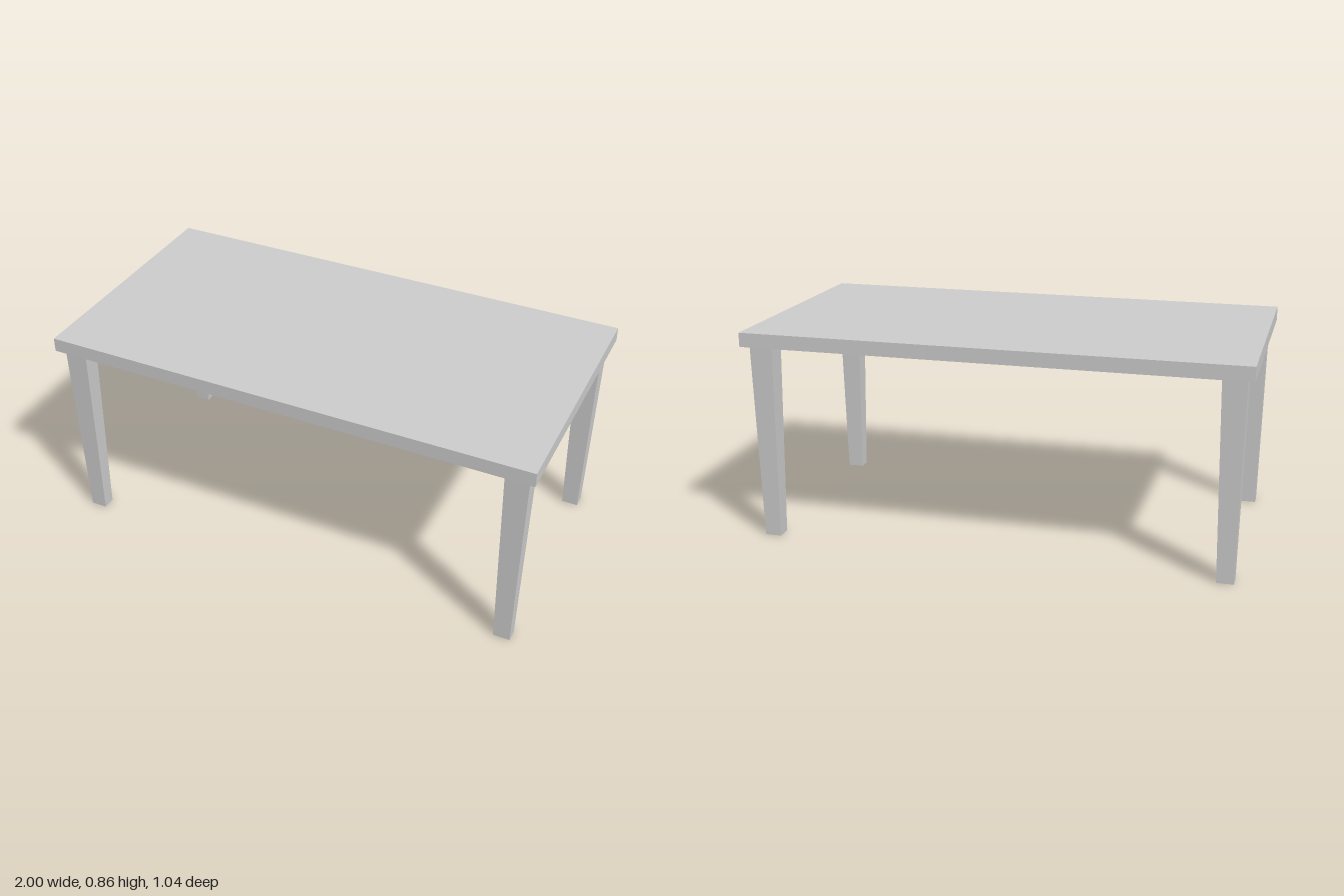
import * as THREE from 'three';

const material = new THREE.MeshStandardMaterial({ color: 0xcccccc, flatShading: true });
const LEG_HEIGHT = 0.804;
const TOP_THICKNESS = 0.057;

// Square-cut leg, narrowing towards the foot
function taperedLeg(topWidth, topDepth, footWidth, footDepth) {
  const geometry = new THREE.BoxGeometry(1, LEG_HEIGHT, 1);
  const p = geometry.attributes.position;
  for (let i = 0; i < p.count; i++) {
    const isTop = p.getY(i) > 0;
    p.setX(i, p.getX(i) * (isTop ? topWidth : footWidth));
    p.setZ(i, p.getZ(i) * (isTop ? topDepth : footDepth));
  }
  geometry.translate(0, LEG_HEIGHT / 2, 0);
  geometry.computeVertexNormals();
  return geometry;
}

export function createModel() {
  const table = new THREE.Group();
  table.name = 'table';

  // Flat slab top
  const top = new THREE.Mesh(new THREE.BoxGeometry(2, TOP_THICKNESS, 1.036), material);
  top.name = 'tableTop';
  top.position.y = LEG_HEIGHT + TOP_THICKNESS / 2;
  table.add(top);

  // Four corner legs; the back pair is slightly deeper
  const pairs = [
    { name: 'front', z: 0.452, topDepth: 0.074, footDepth: 0.052 },
    { name: 'back', z: -0.443, topDepth: 0.084, footDepth: 0.059 },
  ];
  for (const { name, z, topDepth, footDepth } of pairs) {
    const geometry = taperedLeg(0.094, topDepth, 0.067, footDepth);
    for (const side of [1, -1]) {
      const leg = new THREE.Mesh(geometry, material);
      leg.name = name + (side > 0 ? 'Left' : 'Right') + 'Leg';
      leg.position.set(side * 0.926, 0, z);
      table.add(leg);
    }
  }
  return table;
}
